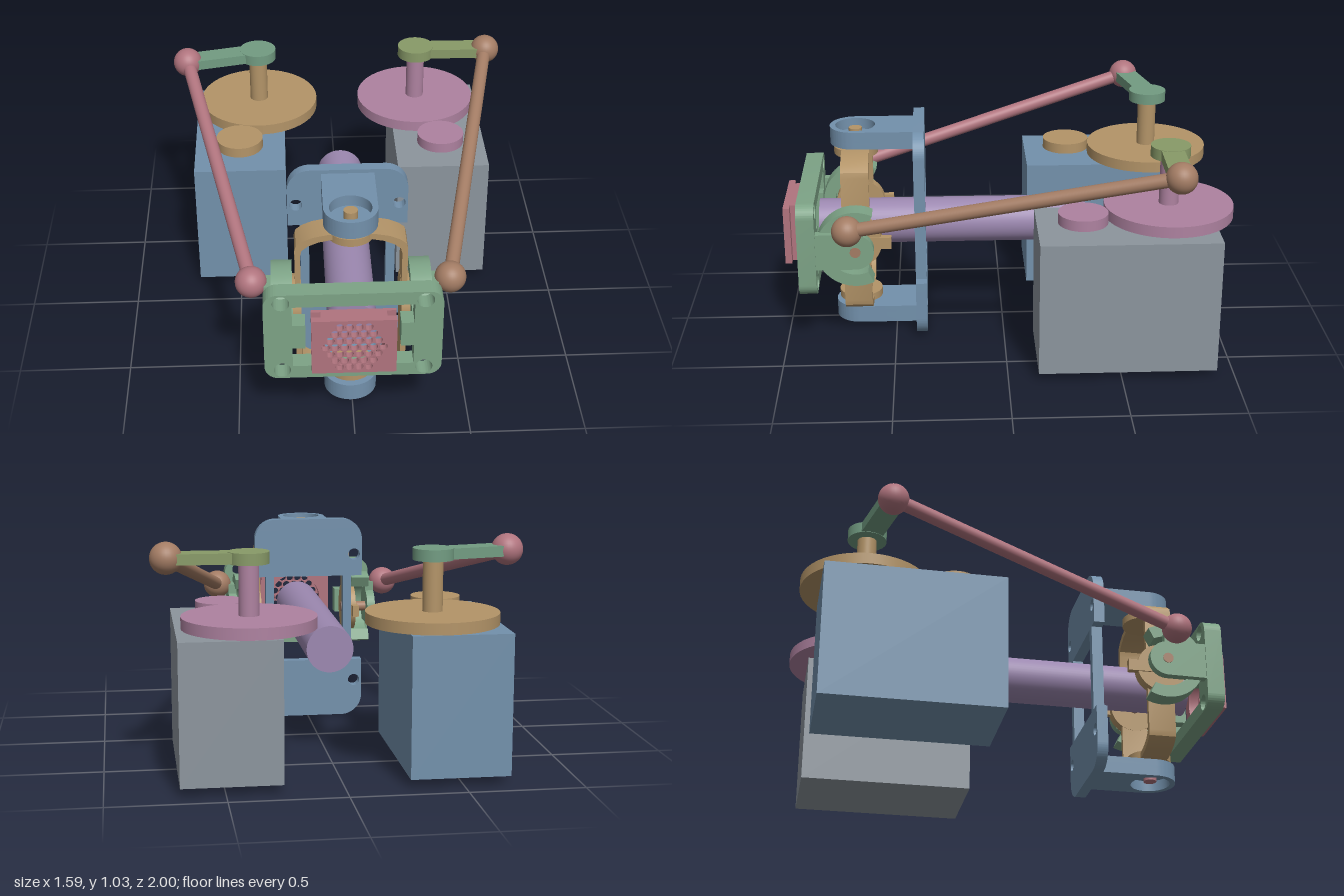
import * as THREE from 'three';
import { toCreasedNormals } from 'three/addons/utils/BufferGeometryUtils.js';

const mat = (name, color) => {
  const m = new THREE.MeshStandardMaterial({ color });
  m.name = name;
  return m;
};
const V = (x, y, z) => new THREE.Vector3(x, y, z);

export function createModel() {
  const M = {
    blue: mat('steel blue', 0x7391ac), grey: mat('cool grey', 0x8c959d),
    tan: mat('tan', 0xb39468), pink: mat('mauve pink', 0xae82a0),
    green: mat('sage green', 0x7da386), teal: mat('teal green', 0x729c82),
    olive: mat('olive', 0x889a68), purple: mat('lavender', 0x9c88b0),
    red: mat('dusty red', 0xb0747e), brown: mat('brown', 0xa37c64),
  };
  const root = new THREE.Group();
  root.name = 'eyeMechanism';
  const body = new THREE.Group();
  body.name = 'mechanism';
  body.position.x = -0.005;
  root.add(body);

  const CY = 0.4925, PZ = 0.668; // height and depth of the gimbal centre
  const add = (name, geo, m, x = 0, y = 0, z = 0, parent = body) => {
    const mesh = new THREE.Mesh(geo, m);
    mesh.name = name;
    mesh.position.set(x, y, z);
    parent.add(mesh);
    return mesh;
  };
  const box = (w, h, d) => new THREE.BoxGeometry(w, h, d);
  const cyl = (r, h) => new THREE.CylinderGeometry(r, r, h, 48);
  const xCyl = (r, h) => cyl(r, h).rotateZ(Math.PI / 2);
  const extrude = (shape, depth) => toCreasedNormals(
    new THREE.ExtrudeGeometry(shape, { depth, bevelEnabled: false, curveSegments: 24 }), 0.5);
  const hole = (x, y, r) => new THREE.Path().absarc(x, y, r, 0, Math.PI * 2, true);
  const poly = (pts) => new THREE.Shape(pts.map(([x, y]) => new THREE.Vector2(x, y)));
  const rect = (w, h) => poly([[-w, -h], [w, -h], [w, h], [-w, h]]);
  const roundRect = (w, h, r) => {
    const s = new THREE.Shape();
    s.absarc(w - r, h - r, r, 0, Math.PI / 2);
    s.absarc(-w + r, h - r, r, Math.PI / 2, Math.PI);
    s.absarc(-w + r, -h + r, r, Math.PI, Math.PI * 1.5);
    s.absarc(w - r, -h + r, r, Math.PI * 1.5, Math.PI * 2);
    return s;
  };
  // round bar between two points
  const rod = (name, a, b, r, m) => {
    const mesh = add(name, cyl(r, a.distanceTo(b)), m);
    mesh.position.copy(a).add(b).multiplyScalar(0.5);
    mesh.quaternion.setFromUnitVectors(V(0, 1, 0), b.clone().sub(a).normalize());
  };

  // servos, gears, crank arms and push rods
  const sides = [
    { s: -1, n: 'right', servo: M.blue, gear: M.tan, arm: M.teal, link: M.red, top: V(-0.726, 0.963, -0.64) },
    { s: 1, n: 'left', servo: M.grey, gear: M.pink, arm: M.olive, link: M.brown, top: V(0.728, 0.963, -0.714) },
  ];
  for (const { s, n, servo, gear, arm, link, top } of sides) {
    add(n + 'Servo', box(0.43, 0.61, 0.785), servo, s * 0.48, 0.345, -0.525);
    add(n + 'LargeGear', cyl(0.285, 0.05), gear, s * 0.388, 0.693, -0.718);
    add(n + 'SmallGear', cyl(0.11, 0.048), gear, s * 0.4815, 0.693, -0.333);
    add(n + 'SmallGearShaft', cyl(0.05, 0.03), servo, s * 0.4815, 0.66, -0.333);
    add(n + 'GearShaft', cyl(0.043, 0.29), gear, s * 0.388, 0.8, -0.718);
    add(n + 'CrankHub', cyl(0.087, 0.05), arm, s * 0.388, 0.962, -0.718);
    const dx = top.x - s * 0.388, dz = top.z + 0.718, len = Math.hypot(dx, dz);
    const bar = add(n + 'CrankArm', box(len, 0.046, 0.1), arm, s * 0.388 + dx / 2, 0.962, -0.718 + dz / 2);
    bar.rotation.y = -Math.atan2(dz, dx);
    const low = V(s * 0.425, 0.618, 0.698);
    rod(n + 'PushRod', top, low, 0.031, link);
    const ball = new THREE.SphereGeometry(0.068, 32, 20);
    add(n + 'UpperBall', ball, link, top.x, top.y, top.z);
    add(n + 'LowerBall', ball, link, low.x, low.y, low.z);
  }

  // central tube
  add('centralTube', cyl(0.105, 1.23).rotateX(Math.PI / 2), M.purple, 0, CY, 0.23);

  // back plate: two rounded lobes joined by narrow strips
  const plate = new THREE.Shape();
  plate.absarc(0.163, 0.39, 0.1, 0, Math.PI / 2);
  plate.absarc(-0.163, 0.39, 0.1, Math.PI / 2, Math.PI);
  for (const [x, y] of [[-0.263, 0.21], [-0.21, 0.21], [-0.21, -0.21], [-0.263, -0.21]]) plate.lineTo(x, y);
  plate.absarc(-0.163, -0.39, 0.1, Math.PI, Math.PI * 1.5);
  plate.absarc(0.163, -0.39, 0.1, Math.PI * 1.5, Math.PI * 2);
  for (const [x, y] of [[0.263, -0.21], [0.21, -0.21], [0.21, 0.21], [0.263, 0.21]]) plate.lineTo(x, y);
  plate.holes.push(rect(0.17, 0.21));
  for (const x of [-0.225, 0.225]) for (const y of [-0.315, 0.315]) plate.holes.push(hole(x, y, 0.028));
  add('backPlate', extrude(plate, 0.05), M.blue, 0, CY, 0.355);

  // pivot brackets above and below, the lower one turned over
  const tongue = (bore) => {
    const s = new THREE.Shape();
    s.moveTo(0.115, -0.4);
    s.lineTo(-0.115, -0.4);
    s.lineTo(-0.115, -PZ);
    s.absarc(0, -PZ, 0.115, Math.PI, Math.PI * 2);
    s.lineTo(0.115, -0.4);
    if (bore) s.holes.push(hole(0, -PZ, 0.09));
    return s;
  };
  for (const up of [true, false]) {
    const g = new THREE.Group();
    g.name = up ? 'upperPivot' : 'lowerPivot';
    g.position.y = CY;
    if (!up) g.rotation.z = Math.PI;
    body.add(g);
    add('bracketRim', extrude(tongue(true), 0.05).rotateX(-Math.PI / 2), M.blue, 0, 0.4225, 0, g);
    add('bracketFloor', extrude(tongue(false), 0.03).rotateX(-Math.PI / 2), M.blue, 0, 0.3925, 0, g);
    add('gimbalBoss', cyl(0.1, 0.035), M.tan, 0, 0.36, PZ, g);
    add('bossCollar', cyl(0.05, 0.02), M.tan, 0, 0.384, PZ, g);
    add('pivotPin', cyl(0.03, 0.07), up ? M.tan : M.red, 0, 0.425, PZ, g);
  }

  // gimbal ring, a tall hoop with softly bowed ends
  const hoop = (t) => {
    const q = [[0.238, 0.3], [0.232, 0.325], [0.205, 0.347], [0.16, 0.366], [0.1, 0.378]]
      .map(([x, y]) => [x - t, y - t]);
    const half = [...q, ...q.slice().reverse().map(([x, y]) => [-x, y])];
    return poly([...half, ...half.map(([x, y]) => [-x, -y])]);
  };
  const ring = hoop(0);
  ring.holes.push(hoop(0.024));
  add('gimbalRing', extrude(ring, 0.125), M.tan, 0, CY, 0.605);

  // side pivots and the clasps of the front frame
  const clasp = new THREE.Shape();
  const A = 116 * Math.PI / 180;
  clasp.absarc(PZ, 0, 0.178, -A, A, false);
  clasp.absarc(PZ, 0, 0.122, A, -A, true);
  const ear = new THREE.Shape();
  ear.moveTo(0.86, 0.085);
  ear.lineTo(PZ, 0.085);
  ear.absarc(PZ, 0, 0.083, Math.PI / 2, Math.PI * 1.5);
  ear.lineTo(0.86, -0.085);
  for (const s of [-1, 1]) {
    const n = s > 0 ? 'left' : 'right';
    add(n + 'GimbalBoss', xCyl(0.115, 0.055), M.tan, s * 0.24, CY, PZ);
    add(n + 'GimbalTab', box(0.03, 0.055, 0.12), M.tan, s * 0.26, CY, 0.57);
    add(n + 'PivotPin', xCyl(0.024, 0.17), M.brown, s * 0.29, CY, PZ);
    const side = (shape, w) => extrude(shape, w).rotateY(-Math.PI / 2).translate(w / 2, 0, 0);
    add(n + 'Clasp', side(clasp, 0.09), M.green, s * 0.295, CY, 0);
    add(n + 'Ear', side(ear, 0.04), M.green, s * 0.351, CY, 0);
    add(n + 'BallMount', box(0.04, 0.14, 0.09), M.green, s * 0.351, 0.55, 0.7);
  }

  // front frame with stepped opening and four bolt holes
  const frame = roundRect(0.375, 0.218, 0.06);
  const q = [[0.255, -0.155], [0.255, -0.06], [0.2, -0.06], [0.2, 0.06], [0.255, 0.06], [0.255, 0.155]];
  frame.holes.push(poly([...q, ...q.map(([x, y]) => [-x, -y])]));
  for (const x of [-0.3, 0.3]) for (const y of [-0.175, 0.175]) frame.holes.push(hole(x, y, 0.036));
  add('frontFrame', extrude(frame, 0.08), M.green, 0, CY, 0.845);

  // sensor block: flange, grooved core and perforated face
  const layer = (w) => {
    const s = rect(w, 0.136);
    s.holes.push(hole(0, 0, 0.13));
    return s;
  };
  add('sensorFlange', extrude(layer(0.177), 0.01), M.red, 0, CY, 0.92);
  add('sensorCore', extrude(layer(0.137), 0.042), M.red, 0, CY, 0.93);
  const face = rect(0.177, 0.136);
  const step = 0.04;
  for (let row = -3; row <= 3; row++) {
    for (let col = -4; col <= 4; col++) {
      const x = (col + (row & 1) * 0.5) * step, y = row * step * 0.866;
      if (Math.hypot(x, y) < 0.122) face.holes.push(hole(x, y, 0.0178));
    }
  }
  add('sensorFace', extrude(face, 0.03), M.red, 0, CY, 0.97);
  for (const s of [-1, 1]) add('sensorCheek', box(0.04, 0.272, 0.006), M.red, s * 0.157, CY, 0.932);

  return root;
}
